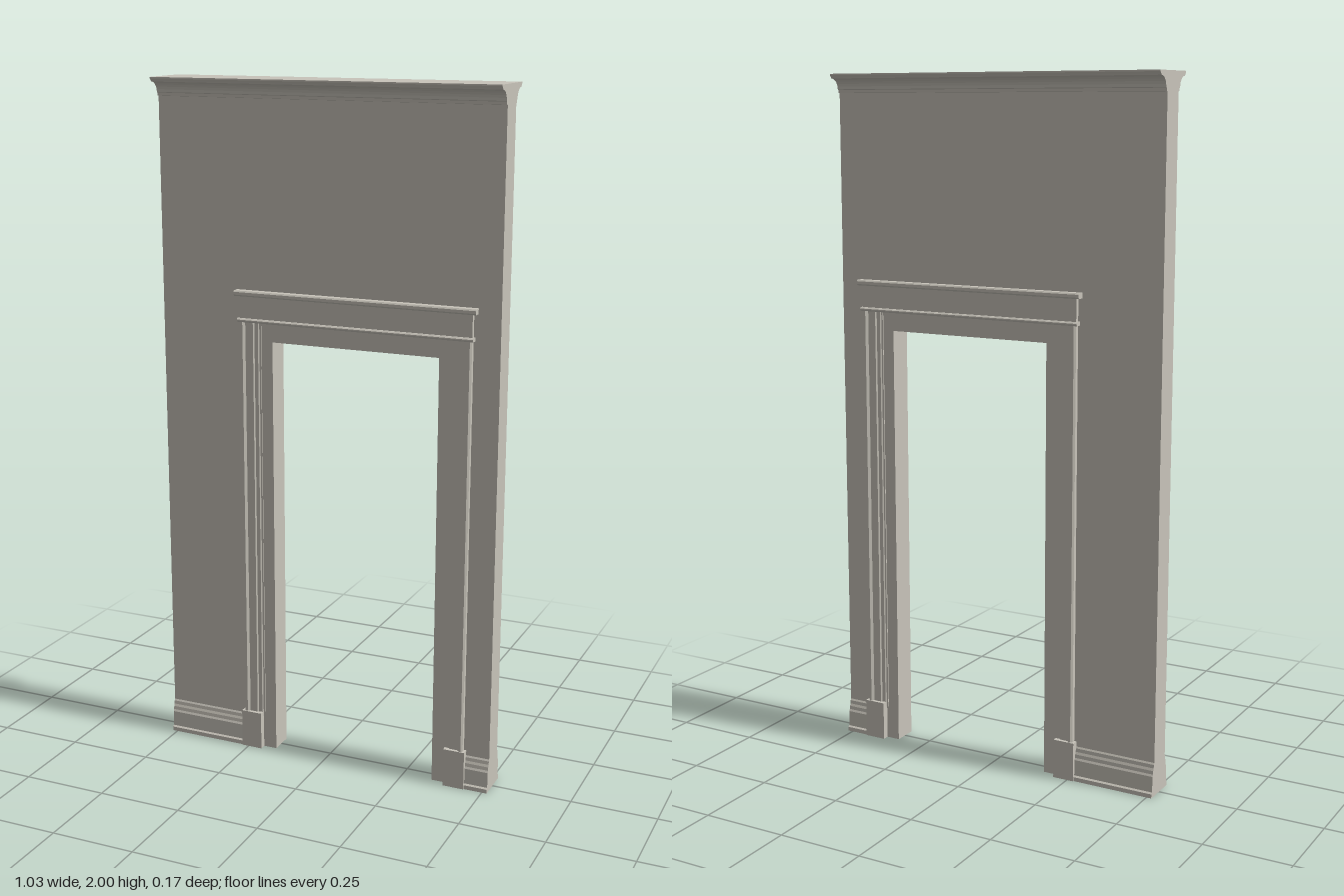
import * as THREE from 'three';

const HALF = 0.515;          // half wall width
const DEPTH = 0.036;         // half wall thickness
const LEFT = -0.165, RIGHT = 0.34, HEAD = 1.265; // door opening
const MID = (LEFT + RIGHT) / 2;

const plaster = new THREE.MeshStandardMaterial({ color: 0xc8c4ba });
plaster.name = 'warm grey plaster';

// Closed section [depth, height], mirrored to both faces and run along x
function runAlongX(name, half, x0, x1) {
  const pts = [...half, ...half.map(([d, h]) => [-d, h]).reverse()];
  const shape = new THREE.Shape(pts.map(([d, h]) => new THREE.Vector2(d, h)));
  const g = new THREE.ExtrudeGeometry(shape, { depth: x1 - x0, bevelEnabled: false });
  g.rotateY(Math.PI / 2).translate(x0, 0, 0);
  return named(name, g);
}

// Closed section [x, depth], mirrored to both faces and run along y
function runAlongY(name, half, y0, y1) {
  const pts = [...half, ...half.map(([x, d]) => [x, -d]).reverse()];
  const shape = new THREE.Shape(pts.map(([x, d]) => new THREE.Vector2(x, d)));
  const g = new THREE.ExtrudeGeometry(shape, { depth: y1 - y0, bevelEnabled: false });
  g.rotateX(-Math.PI / 2).translate(0, y0, 0);
  return named(name, g);
}

function named(name, geometry) {
  const mesh = new THREE.Mesh(geometry, plaster);
  mesh.name = name;
  return mesh;
}

export function createModel() {
  const model = new THREE.Group();
  model.name = 'wallWithDoorway';

  // Wall with an off-centre doorway
  const outline = [[-HALF, 0], [LEFT, 0], [LEFT, HEAD], [RIGHT, HEAD], [RIGHT, 0],
    [HALF, 0], [HALF, 1.946], [-HALF, 1.946]];
  const wall = new THREE.ExtrudeGeometry(
    new THREE.Shape(outline.map(([x, y]) => new THREE.Vector2(x, y))),
    { depth: DEPTH * 2, bevelEnabled: false });
  wall.translate(0, 0, -DEPTH);
  model.add(named('wall', wall));

  // Crown moulding: small bead, cove and top fillet
  const crown = [[DEPTH, 1.946], [0.041, 1.947], [0.042, 1.955]];
  for (let i = 0; i <= 6; i++) {
    const a = (i / 6) * Math.PI / 2;
    crown.push([0.045 + 0.031 * (1 - Math.cos(a)), 1.957 + 0.03 * Math.sin(a)]);
  }
  crown.push([0.078, 1.99], [0.083, 1.996], [0.083, 2]);
  model.add(runAlongX('crownMoulding', crown, -HALF, HALF));

  // Skirting on both sides of the doorway
  const skirting = [[0.053, 0], [0.053, 0.012], [0.048, 0.016], [0.047, 0.062],
    [0.044, 0.068], [0.043, 0.078], [0.04, 0.085], [0.039, 0.095], [DEPTH, 0.1]];
  model.add(runAlongX('leftSkirting', skirting, RIGHT + 0.1, HALF));
  model.add(runAlongX('rightSkirting', skirting, -HALF, LEFT - 0.1));

  // Door casing and plinth block, mirrored about the opening's centre
  const casing = [[-0.263, 0.03], [-0.263, 0.048], [-0.258, 0.053], [-0.252, 0.053],
    [-0.246, 0.046], [-0.222, 0.046], [-0.219, 0.042], [-0.208, 0.042],
    [-0.205, 0.039], [-0.2, 0.039], [-0.2, 0.03]];
  const plinth = [[-0.27, 0.03], [-0.27, 0.056], [-0.206, 0.056], [-0.206, 0.03]];
  for (const side of [1, -1]) {
    const place = (pts) => side === 1 ? pts : pts.map(([x, d]) => [2 * MID - x, d]);
    const label = side === 1 ? 'right' : 'left';
    model.add(runAlongY(label + 'Casing', place(casing), 0.1, 1.322));
    model.add(runAlongY(label + 'Plinth', place(plinth), 0, 0.115));
  }

  // Header board over the door with a bead below and a cap above
  const bead = [[0.03, 1.32], [0.053, 1.32], [0.056, 1.324], [0.056, 1.327],
    [0.052, 1.331], [0.03, 1.331]];
  const board = [[0.048, 1.328], [0.048, 1.398]];
  const cap = [[0.03, 1.395], [0.056, 1.395], [0.06, 1.399], [0.06, 1.407],
    [0.057, 1.411], [0.03, 1.411]];
  model.add(runAlongX('headerBead', bead, -0.268, 0.443));
  model.add(runAlongX('headerBoard', board, -0.263, 0.438));
  model.add(runAlongX('headerCap', cap, -0.275, 0.45));

  return model;
}
